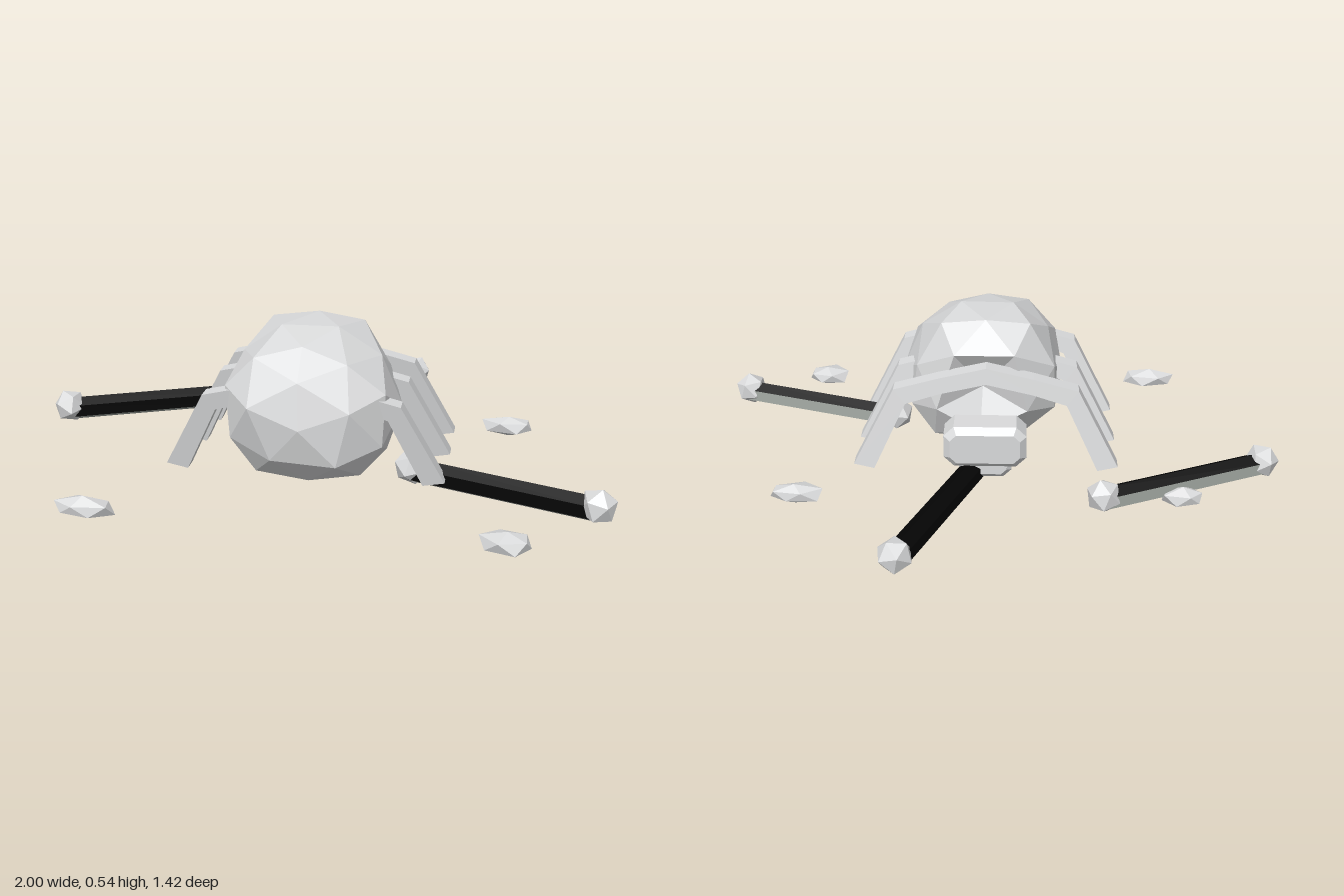
import * as THREE from 'three';

export function createModel() {
  const model = new THREE.Group();
  const material = (name, color) => {
    const m = new THREE.MeshStandardMaterial({ color, flatShading: true });
    m.name = name;
    return m;
  };
  const grey = material('pale grey', 0xdadbdc);
  const shaftGrey = material('shaft grey', 0xa6aca6);
  const black = material('black', 0x050505);

  const add = (name, geo, mat = grey, parent = model) => {
    const mesh = new THREE.Mesh(geo, mat);
    mesh.name = name;
    parent.add(mesh);
    return mesh;
  };

  // Moves every corner by a rule that depends only on its position
  const deform = (geo, rule) => {
    const p = geo.attributes.position;
    const v = new THREE.Vector3();
    for (let i = 0; i < p.count; i++) {
      v.fromBufferAttribute(p, i);
      rule(v);
      p.setXYZ(i, v.x, v.y, v.z);
    }
    geo.computeVertexNormals();
    return geo;
  };
  const wobble = (v, seed, amount) =>
    1 + amount * Math.sin(Math.round(v.x * 50) * 1.3 + Math.round(v.y * 50) * 2.1 + Math.round(v.z * 50) * 0.7 + seed);
  const boxy = (t) => Math.sign(t) * Math.pow(Math.abs(t), 0.86);

  // Faceted body, narrower at the top, with a hollow in the rear
  const body = new THREE.IcosahedronGeometry(1, 1).rotateX(-Math.atan(2 / (1 + Math.sqrt(5))));
  add('body', deform(body, (v) => {
    const hollow = v.z < -0.97;
    const k = wobble(v, 1, 0.035);
    v.set(boxy(v.x) * 0.29 * k, 0.285 + boxy(v.y) * 0.255 * k, 0.242 + boxy(v.z) * 0.29 * k);
    v.x *= 1 - Math.max(0, v.y - 0.35) * 0.8;
    v.x += 0.035 - 0.05 * (v.y - 0.28);
    if (v.z < 0.13 && v.y > 0.4) v.y += 0.035;
    v.y = THREE.MathUtils.clamp(v.y, 0.03, 0.54);
    if (hollow) v.z = 0.08;
  }));

  // Ribs: bent bars leaning backwards toward their feet
  const rib = (points, z, name) => {
    const shape = new THREE.Shape(points.map(([x, y]) => new THREE.Vector2(x, y)));
    const geo = new THREE.ExtrudeGeometry(shape, { depth: 0.055, bevelEnabled: false });
    deform(geo, (v) => {
      v.x += 0.02;
      v.z += z - 0.0275 - (0.36 - v.y) * 0.18;
    });
    add(name, geo);
  };
  const outer = [[0.455, 0.075], [0.315, 0.34], [0.16, 0.38]];
  const inner = [[0.16, 0.325], [0.275, 0.29], [0.385, 0.06]];
  const mirror = (pts) => pts.map(([x, y]) => [-x, y]).reverse();
  for (const [z, name] of [[0.385, 'frontRib'], [0.155, 'middleRib']]) {
    rib([...outer, ...inner], z, name + 'Left');
    rib(mirror([...outer, ...inner]), z, name + 'Right');
  }
  rib([...outer, [0, 0.415], ...mirror(outer), ...mirror(inner), [0, 0.36], ...inner], -0.035, 'rearRib');

  // Vertebra behind the body, chamfered on every edge
  const chamferBox = (w, h, d, b) => {
    const x = w / 2 - b, y = h / 2 - b;
    const corners = [[b - x, -y], [x - b, -y], [x, b - y], [x, y - b], [x - b, y], [b - x, y], [-x, y - b], [-x, b - y]];
    const shape = new THREE.Shape(corners.map(([a, c]) => new THREE.Vector2(a, c)));
    return new THREE.ExtrudeGeometry(shape, {
      depth: d - 2 * b, bevelSize: b, bevelThickness: b, bevelSegments: 1,
    }).translate(0, 0, b - d / 2);
  };
  add('vertebra', chamferBox(0.28, 0.15, 0.13, 0.022)).position.set(0.02, 0.18, -0.125);
  add('vertebraBase', chamferBox(0.18, 0.08, 0.1, 0.018)).position.set(0.02, 0.09, -0.11);

  // Loose six-sided long bones: three black sides, three grey sides, a knob at each end
  const longBone = (x0, z0, x1, z1, name) => {
    const bone = new THREE.Group();
    bone.name = name;
    const length = Math.hypot(x1 - x0, z1 - z0);
    const half = (start) => new THREE.CylinderGeometry(0.042, 0.042, length, 3, 1, true, start, Math.PI).rotateZ(Math.PI / 2);
    add('shaftTop', half(-Math.PI / 6), black, bone);
    add('shaftUnderside', half(Math.PI * 5 / 6), shaftGrey, bone);
    for (const side of [-1, 1]) {
      const knob = add('knob', new THREE.IcosahedronGeometry(0.06, 0), grey, bone);
      knob.position.set(side * length / 2, 0.012, 0);
      knob.rotation.set(0.4, side, 0.2);
    }
    bone.position.set((x0 + x1) / 2, 0.067, (z0 + z1) / 2);
    bone.rotation.y = -Math.atan2(z1 - z0, x1 - x0);
    model.add(bone);
  };
  longBone(-0.935, -0.06, -0.375, -0.305, 'looseBoneRight');
  longBone(0.36, 0.255, 0.945, 0.445, 'looseBoneLeft');
  longBone(0.28, -0.66, 0.05, -0.1, 'looseBoneRear');

  // Small flattened stones around the edge
  const stones = [
    [0.66, -0.25, 0.1, 0.045], [-0.645, -0.24, 0.08, 0.045],
    [-0.615, 0.655, 0.105, 0.048], [0.68, 0.65, 0.085, 0.06],
  ];
  stones.forEach(([x, z, rx, rz], i) => {
    const geo = new THREE.IcosahedronGeometry(1, 0).rotateZ(0.55);
    const stone = deform(geo, (v) => {
      const k = wobble(v, i * 2, 0.1);
      v.set(v.x * rx * k, v.y * 0.036 * k, v.z * rz * k);
    });
    add('stone', stone).position.set(x, 0.04, z);
  });

  return model;
}
